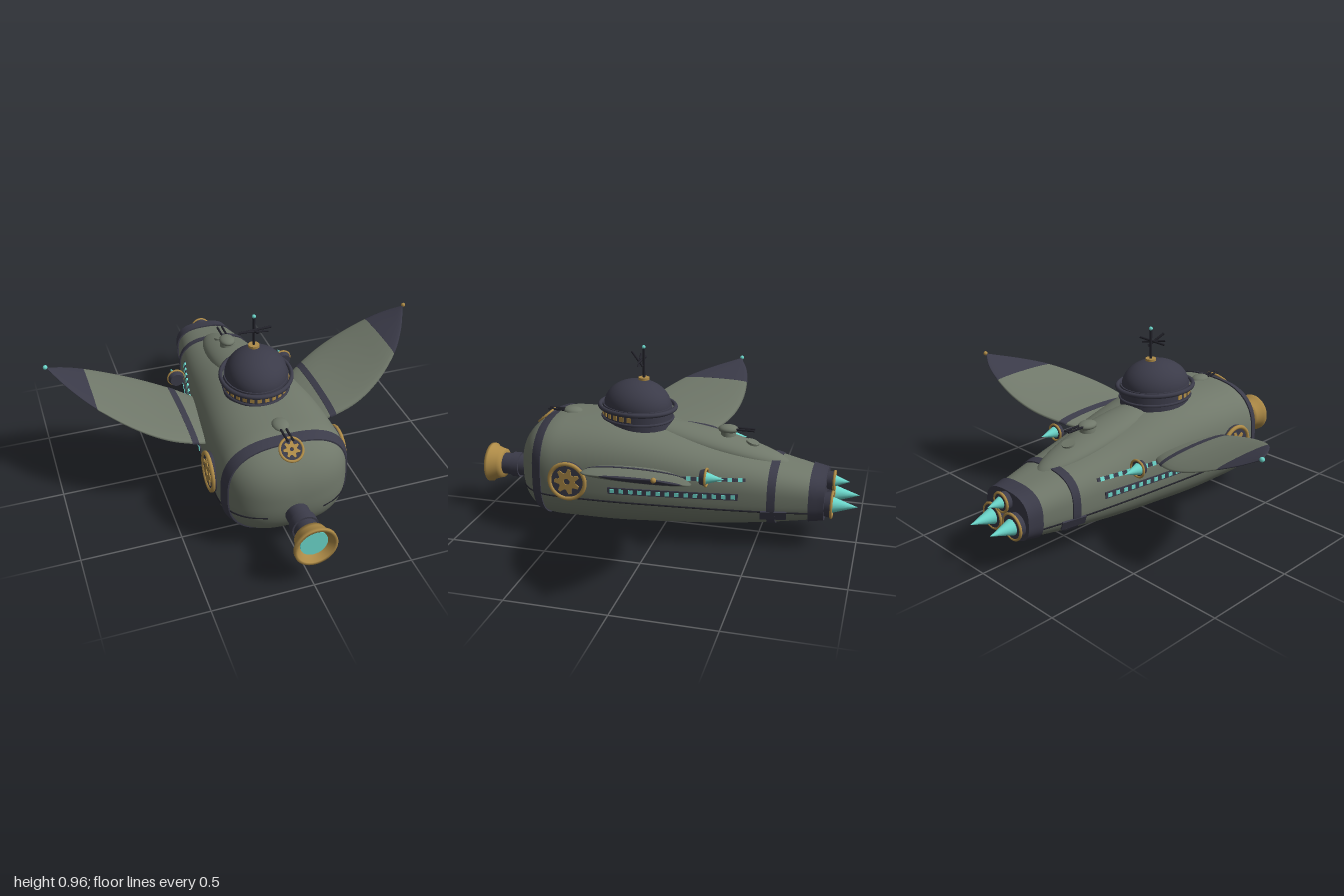
import * as THREE from 'three';

const paint = (name, color, side = THREE.FrontSide) => {
  const m = new THREE.MeshStandardMaterial({ color, side });
  m.name = name;
  return m;
};
const hullGreen = paint('hull green', 0x70786a);
const slate = paint('slate trim', 0x3b3b49);
const iron = paint('dark iron', 0x22222a);
const brass = paint('brass', 0xae8b47, THREE.DoubleSide);
const glow = paint('cyan glow', 0x6cd8cc);

function add(parent, name, geo, mat, x = 0, y = 0, z = 0) {
  const m = new THREE.Mesh(geo, mat);
  m.name = name;
  m.position.set(x, y, z);
  parent.add(m);
  return m;
}
// cylinder along z, rf is the radius of its front (+z) end
const cylZ = (rf, rb, len, n = 32) => new THREE.CylinderGeometry(rf, rb, len, n).rotateX(Math.PI / 2);
const coneBack = (r, len) => new THREE.ConeGeometry(r, len, 24).rotateX(-Math.PI / 2);
function rod(parent, name, a, b, r, mat) {
  const path = new THREE.LineCurve3(new THREE.Vector3(...a), new THREE.Vector3(...b));
  return add(parent, name, new THREE.TubeGeometry(path, 1, r, 8), mat);
}

// smooth lookup in a table of rows [key, ...values] with rising keys
function sample(rows, k) {
  const last = rows.length - 1;
  k = Math.min(Math.max(k, rows[0][0]), rows[last][0]);
  let i = 0;
  while (i < last - 1 && k > rows[i + 1][0]) i++;
  const p = rows[i], q = rows[i + 1], o = rows[Math.max(i - 1, 0)], r = rows[Math.min(i + 2, last)];
  const d = q[0] - p[0], t = (k - p[0]) / d;
  return p.slice(1).map((v, c) => {
    const m0 = (q[c + 1] - o[c + 1]) / (q[0] - o[0]) * d, m1 = (r[c + 1] - v) / (r[0] - p[0]) * d;
    return (2 * t ** 3 - 3 * t * t + 1) * v + (t ** 3 - 2 * t * t + t) * m0
      + (3 * t * t - 2 * t ** 3) * q[c + 1] + (t ** 3 - t * t) * m1;
  });
}

// skin through equal-sized rings of points, optionally closed by flat ends
function loft(rings, caps = false) {
  if (caps) {
    const cap = (r) => {
      const c = r.reduce((s, p) => s.add(p), new THREE.Vector3()).divideScalar(r.length);
      return r.map(() => c);
    };
    const a = rings[0], b = rings[rings.length - 1];
    rings = [cap(a), a, ...rings, b, cap(b)];
  }
  const n = rings[0].length, index = [];
  for (let i = 0; i < rings.length - 1; i++) for (let j = 0; j < n; j++) {
    const a = i * n + j, b = i * n + (j + 1) % n;
    index.push(a, a + n, b, b, a + n, b + n);
  }
  const g = new THREE.BufferGeometry().setFromPoints(rings.flat());
  g.setIndex(index);
  g.computeVertexNormals();
  return g;
}
const steps = (a, b, n) => Array.from({ length: n + 1 }, (_, i) => a + (b - a) * i / n);

// hull sections: z, half width, top, bottom
const HULL = [[-0.83, 0.15, 0.378, 0.148], [-0.58, 0.203, 0.43, 0.112], [-0.3, 0.248, 0.49, 0.08],
  [0, 0.288, 0.56, 0.06], [0.2, 0.31, 0.587, 0.05], [0.4, 0.322, 0.59, 0.05], [0.76, 0.325, 0.58, 0.05]];
const POWER = 2.7;
function section(z) {
  const [w, t, b] = sample(HULL, z);
  const k = Math.min(Math.max((z - 0.5) / 0.26, 0), 1);
  const f = (1 - k ** 2.4) ** (1 / 2.4);
  return { w: w * f, h: (t - b) / 2 * f, c: (t + b) / 2 };
}
function hullRing(z, grow = 0) {
  const { w, h, c } = section(z);
  const bend = (v) => Math.sign(v) * Math.abs(v) ** (2 / POWER);
  return Array.from({ length: 64 }, (_, j) => {
    const a = j / 64 * Math.PI * 2;
    return new THREE.Vector3((w + grow) * bend(Math.cos(a)), c + (h + grow) * bend(Math.sin(a)), z);
  });
}
function sideX(y, z) {
  const { w, h, c } = section(z);
  return w * Math.max(0, 1 - Math.abs((y - c) / h) ** POWER) ** (1 / POWER);
}
// sets an object on the left flank, its +z turned outwards
function onFlank(o, y, z) {
  const e = 0.01, x = sideX(y, z);
  o.position.set(x, y, z);
  o.lookAt(x + 1, y - (sideX(y + e, z) - sideX(y - e, z)) / (2 * e), z - (sideX(y, z + e) - sideX(y, z - e)) / (2 * e));
}

// round badge with a cog, facing +z
function badge(r) {
  const g = new THREE.Group();
  g.name = 'cogBadge';
  add(g, 'badgePlate', cylZ(r, r, 0.03), slate);
  add(g, 'badgeRim', new THREE.TorusGeometry(r * 0.93, r * 0.11, 8, 40), brass, 0, 0, 0.013);
  const cog = new THREE.Shape(), teeth = 7;
  for (let i = 0; i < teeth * 4; i++) {
    const a = (i + 0.5) / (teeth * 4) * Math.PI * 2, q = r * (i % 4 < 2 ? 0.68 : 0.44);
    cog[i ? 'lineTo' : 'moveTo'](Math.sin(a) * q, Math.cos(a) * q);
  }
  cog.holes.push(new THREE.Path().absarc(0, 0, r * 0.16, 0, Math.PI * 2));
  add(g, 'cog', new THREE.ExtrudeGeometry(cog, { depth: 0.005, bevelEnabled: false }), brass, 0, 0, 0.015);
  return g;
}

// small twin-barrel gun pointing +z
function turret(parent, name, y, z, turn = 0) {
  const g = new THREE.Group();
  g.name = name;
  add(g, 'turretBody', new THREE.SphereGeometry(1, 20, 12).scale(0.042, 0.022, 0.052), hullGreen);
  add(g, 'turretBase', new THREE.CylinderGeometry(0.036, 0.04, 0.03, 20), hullGreen, 0, y < 0.2 ? 0.017 : -0.017, 0);
  for (const s of [-1, 1]) add(g, 'gunBarrel', cylZ(0.006, 0.006, 0.1, 8), iron, s * 0.013, 0.004, 0.085);
  g.position.set(0, y, z);
  g.rotation.y = turn;
  parent.add(g);
}

// wing sections: x, front z, back z, height, half thickness
const WING = [[0.25, 0.3, -0.1, 0.385, 0.028], [0.35, 0.315, -0.175, 0.411, 0.028], [0.5, 0.295, -0.25, 0.455, 0.021],
  [0.65, 0.22, -0.28, 0.51, 0.016], [0.8, 0.09, -0.275, 0.575, 0.012], [0.9, -0.05, -0.25, 0.62, 0.008],
  [0.985, -0.21, -0.203, 0.663, 0.003]];
function wingRing(x, grow = 0) {
  const [f, b, y, t] = sample(WING, x);
  return Array.from({ length: 24 }, (_, j) => {
    const a = j / 24 * Math.PI * 2;
    return new THREE.Vector3(x, y + (t + grow) * Math.sin(a), (f + b) / 2 + ((f - b) / 2 + grow) * Math.cos(a));
  });
}

// everything on one flank, built for the left and mirrored for the right
function flank(s) {
  const g = new THREE.Group();
  g.name = s > 0 ? 'leftFlank' : 'rightFlank';
  const wing = (name, a, b, n, mat, grow) => add(g, name, loft(steps(a, b, n).map((x) => wingRing(x, grow)), true), mat);
  wing('wingPanel', 0.25, 0.79, 20, hullGreen, 0);
  wing('wingRootBand', 0.345, 0.378, 3, slate, 0.003);
  wing('wingTip', 0.79, 0.985, 12, slate, 0.0005);
  add(g, 'wingTipLamp', new THREE.SphereGeometry(0.012, 12, 8), s > 0 ? brass : glow, 0.985, 0.664, -0.207);

  const emblem = badge(0.1);
  onFlank(emblem, 0.325, 0.43);
  g.add(emblem);

  // rows of lit portholes on dark strips
  for (const [y, z0, z1, n, high] of [[0.375, 0.22, -0.43, 14, 0.018], [0.29, 0.2, -0.4, 14, 0.034]]) {
    const pitch = (z0 - z1) / (n - 1);
    for (const z of steps(z0, z1, n - 1)) {
      onFlank(add(g, 'portholeStrip', new THREE.BoxGeometry(pitch * 1.05, high, 0.01), slate), y, z);
      onFlank(add(g, 'porthole', new THREE.BoxGeometry(0.022, 0.02, 0.018), glow), y, z);
    }
  }
  // seam along the hull and a service patch
  const seam = steps(0.74, -0.83, 40).map((z) => {
    const y = 0.222 + z * 0.016;
    return new THREE.Vector3(sideX(y, z), y, z);
  });
  add(g, 'hullSeam', new THREE.TubeGeometry(new THREE.CatmullRomCurve3(seam), 60, 0.005, 6), iron);
  onFlank(add(g, 'servicePatch', new THREE.BoxGeometry(0.13, 0.05, 0.012), slate), 0.195, -0.595);

  // side thruster
  add(g, 'sideThruster', cylZ(0.035, 0.045, 0.03), slate, 0.305, 0.41, -0.265);
  add(g, 'sideThrusterRim', new THREE.TorusGeometry(0.043, 0.006, 8, 28), brass, 0.305, 0.41, -0.28);
  add(g, 'sideThrusterFlame', coneBack(0.03, 0.09), glow, 0.31, 0.41, -0.325);
  g.scale.x = s;
  return g;
}

export function createModel() {
  const model = new THREE.Group();
  model.name = 'flyingSubmarine';

  // hull, with closely spaced sections around the nose
  const zs = [...steps(0, Math.PI / 2, 20).map((a) => 0.5 + 0.26 * Math.cos(a)), ...steps(0.46, -0.83, 32)];
  add(model, 'hull', loft(zs.map((z) => hullRing(z)), true), hullGreen);
  for (const [a, b, g] of [[0.632, 0.582, 0.007], [-0.563, -0.603, 0.006], [-0.762, -0.838, 0.008]]) {
    const outer = steps(a, b, 4).map((z) => hullRing(z, g));
    add(model, 'hullBand', loft(outer, true), slate);
  }
  const spine = add(model, 'dorsalSpine', new THREE.SphereGeometry(1, 40, 24).scale(0.115, 0.06, 0.405), hullGreen, 0, 0.483, -0.25);
  spine.rotation.x = -0.2;
  const hatch = add(model, 'spineHatch', new THREE.CylinderGeometry(0.034, 0.034, 0.02, 24), hullGreen, 0, 0.494, -0.45);
  hatch.rotation.x = -0.3;

  // nose horn with glowing lens
  add(model, 'noseBarrel', cylZ(0.058, 0.058, 0.2), slate, 0, 0.245, 0.83);
  add(model, 'noseCollar', cylZ(0.067, 0.067, 0.045), slate, 0, 0.245, 0.845);
  const bell = [[0.055, 0.918], [0.078, 0.92], [0.083, 0.94], [0.097, 0.98], [0.106, 0.985], [0.106, 1], [0.092, 1], [0.066, 0.965]];
  add(model, 'noseBell', new THREE.LatheGeometry(bell.map((p) => new THREE.Vector2(...p)), 40).rotateX(Math.PI / 2), brass, 0, 0.245, 0);
  add(model, 'noseLens', cylZ(0.068, 0.068, 0.01), glow, 0, 0.245, 0.967);
  const crest = badge(0.06);
  crest.position.set(0, 0.54, 0.65);
  crest.rotation.x = -0.85;
  model.add(crest);

  // command dome
  const dome = new THREE.Group();
  dome.name = 'commandDome';
  add(dome, 'domeDrum', new THREE.CylinderGeometry(0.186, 0.19, 0.12, 48), slate, 0, -0.05, 0);
  add(dome, 'domeShell', new THREE.SphereGeometry(0.18, 48, 16, 0, Math.PI * 2, 0, Math.PI / 2).scale(1, 0.73, 1), slate, 0, 0.005, 0);
  add(dome, 'domeFlange', new THREE.TorusGeometry(0.203, 0.012, 10, 56).rotateX(Math.PI / 2), slate);
  add(dome, 'drumRing', new THREE.TorusGeometry(0.19, 0.007, 8, 56).rotateX(Math.PI / 2), slate, 0, -0.057, 0);
  for (const a of steps(-1.25, 1.85, 14)) {
    const pane = add(dome, 'domeWindow', new THREE.BoxGeometry(0.024, 0.026, 0.009), brass, Math.sin(a) * 0.187, -0.03, Math.cos(a) * 0.187);
    pane.rotation.y = a;
  }
  dome.position.set(0, 0.647, 0.155);
  dome.rotation.y = -0.3;
  dome.scale.x = 0.87;
  model.add(dome);

  // mast and aerials
  rod(model, 'mast', [0, 0.76, 0.12], [0, 0.955, 0.12], 0.007, iron);
  add(model, 'mastCollar', new THREE.CylinderGeometry(0.028, 0.028, 0.012, 20), brass, 0, 0.793, 0.12);
  add(model, 'mastLamp', new THREE.SphereGeometry(0.01, 12, 8), glow, 0, 0.957, 0.12);
  rod(model, 'aerial', [-0.085, 0.885, 0.135], [0.085, 0.89, 0.13], 0.006, iron);
  rod(model, 'aerial', [-0.025, 0.922, 0.19], [0.02, 0.86, 0.12], 0.006, iron);
  rod(model, 'aerial', [-0.07, 0.9, 0.155], [0.07, 0.868, 0.13], 0.005, iron);

  turret(model, 'foreTurret', 0.585, 0.51);
  turret(model, 'aftTurret', 0.56, -0.325, Math.PI);
  turret(model, 'bellyTurret', 0.028, 0.27);

  // stern engines: x, y, radius, flame length
  for (const [x, y, r, len] of [[-0.075, 0.235, 0.068, 0.13], [0.075, 0.235, 0.068, 0.13], [0, 0.335, 0.05, 0.08]]) {
    add(model, 'engineNozzle', cylZ(r * 0.85, r, 0.05), slate, x, y, -0.85);
    add(model, 'engineRim', new THREE.TorusGeometry(r * 0.95, 0.007, 8, 32), brass, x, y, -0.872);
    add(model, 'engineFlame', coneBack(r * 0.62, len), glow, x, y, -0.87 - len / 2);
  }

  model.add(flank(1), flank(-1));
  return model;
}
